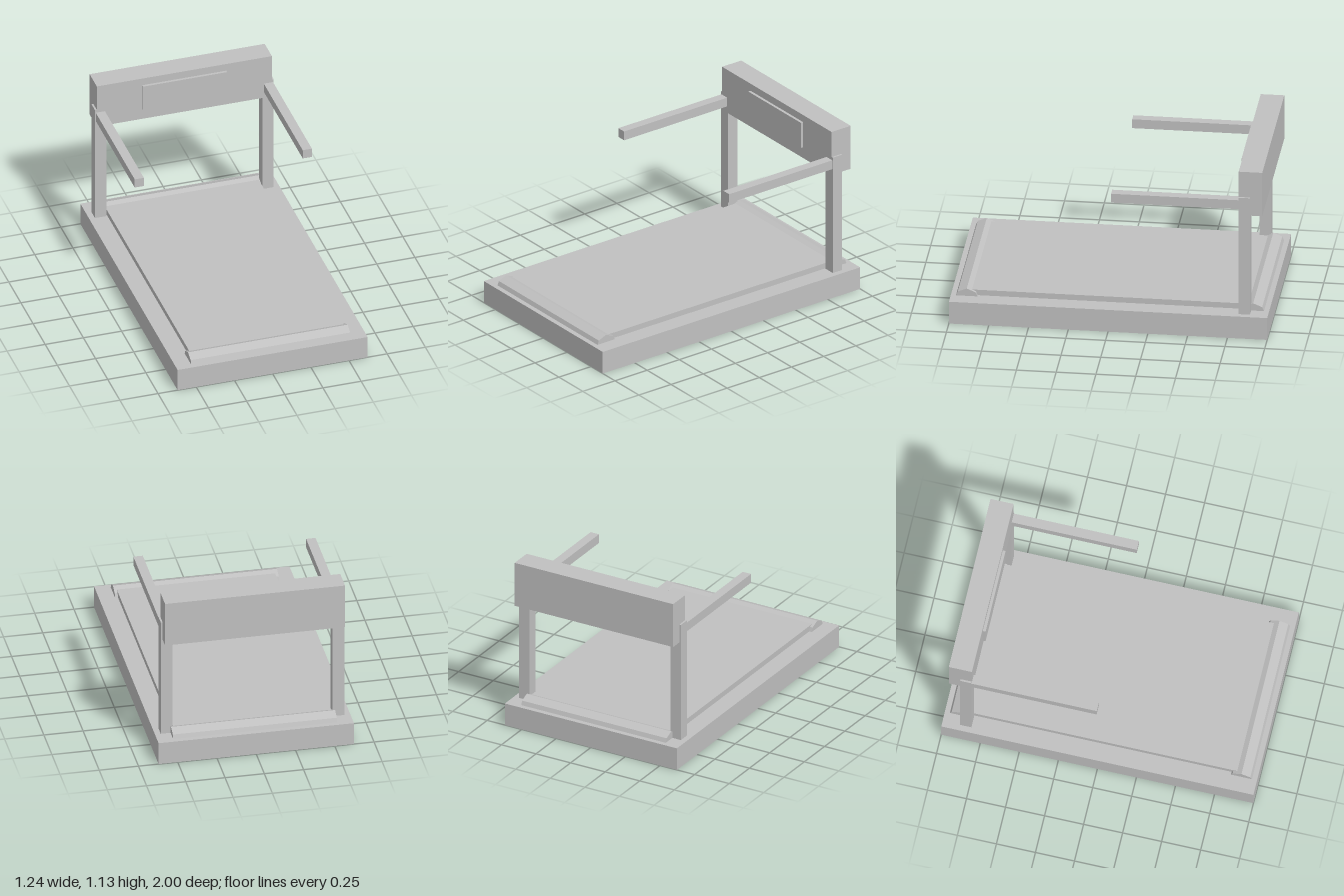
import * as THREE from 'three';

export function createModel() {
  const model = new THREE.Group();
  model.name = 'treadmill';
  const grey = new THREE.MeshStandardMaterial({ color: 0xc0c0c0, flatShading: true });
  grey.name = 'plain grey';

  // box given by its extents along each axis
  function box(name, [x0, x1], [y0, y1], [z0, z1]) {
    const mesh = new THREE.Mesh(new THREE.BoxGeometry(x1 - x0, y1 - y0, z1 - z0), grey);
    mesh.position.set((x0 + x1) / 2, (y0 + y1) / 2, (z0 + z1) / 2);
    mesh.name = name;
    model.add(mesh);
  }

  // deck and running belt
  box('base', [-0.622, 0.622], [0, 0.15], [-1, 1]);
  box('belt', [-0.504, 0.504], [0.12, 0.187], [-0.88, 0.88]);

  // eight-sided rollers, half sunk into the deck at both ends
  for (const [name, z] of [['frontRoller', 0.9], ['rearRoller', -0.9]]) {
    const geometry = new THREE.CylinderGeometry(0.08, 0.08, 1.045, 8);
    geometry.rotateZ(Math.PI / 2);
    const roller = new THREE.Mesh(geometry, grey);
    roller.position.set(0, 0.12, z);
    roller.name = name;
    model.add(roller);
  }

  // uprights and handrails, mirrored
  for (const [side, s] of [['left', 1], ['right', -1]]) {
    const span = (a, b) => (s > 0 ? [a, b] : [-b, -a]);
    box(side + 'Post', span(0.51, 0.585), [0.15, 0.952], [-0.887, -0.815]);
    box(side + 'Handrail', span(0.52, 0.58), [0.871, 0.932], [-0.82, -0.014]);
  }

  // console with raised display
  box('console', [-0.573, 0.573], [0.827, 1.126], [-0.963, -0.815]);
  box('display', [-0.275, 0.275], [0.902, 1.077], [-0.82, -0.797]);

  return model;
}
